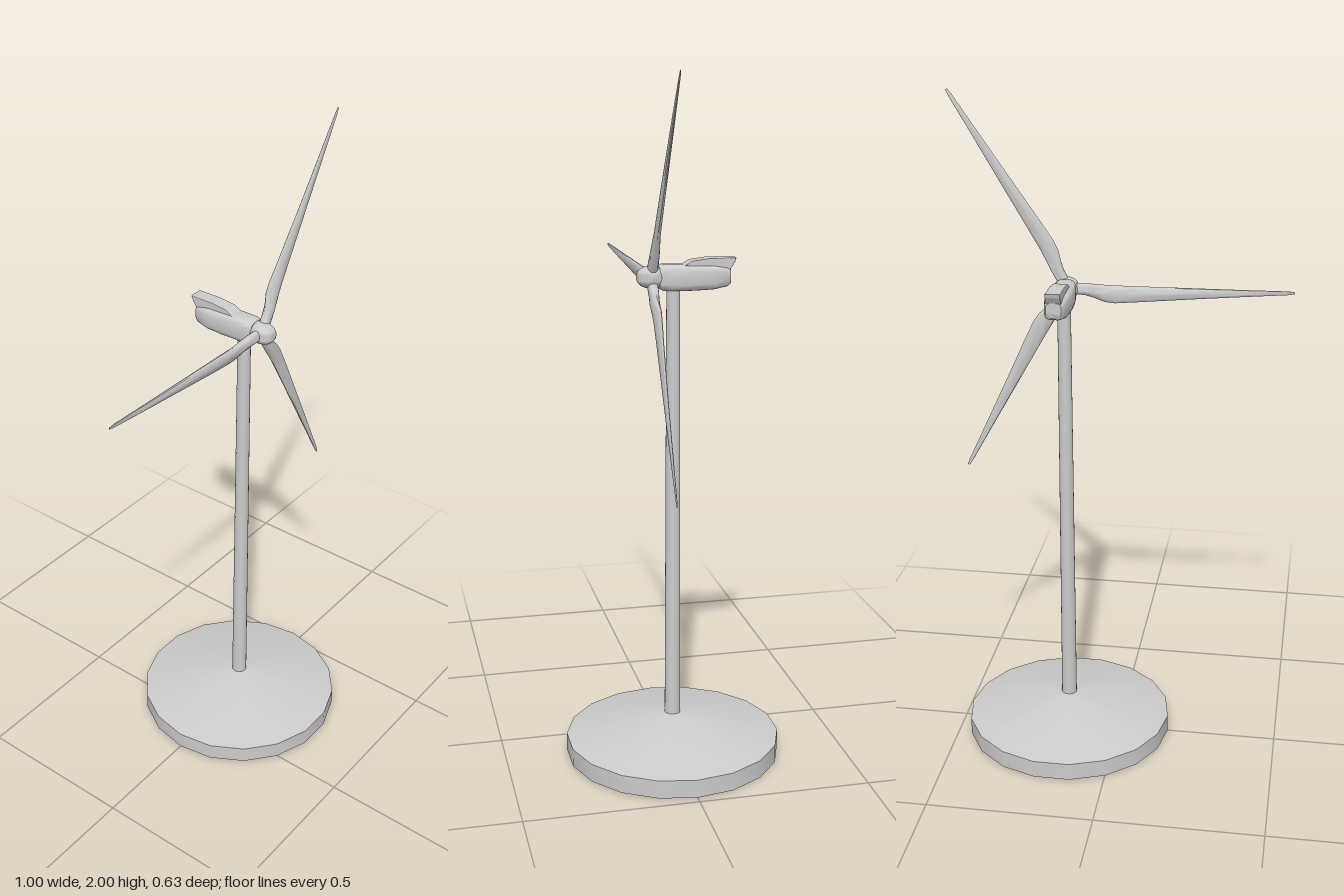
import * as THREE from 'three';
import { mergeVertices, toCreasedNormals } from 'three/addons/utils/BufferGeometryUtils.js';

const AXIS_X = 0.158, HUB_Y = 1.437, HUB_Z = 0.062;
const material = new THREE.MeshStandardMaterial({ color: 0xcccccc, side: THREE.DoubleSide });

function part(name, geometry, parent) {
  const mesh = new THREE.Mesh(geometry, material);
  mesh.name = name;
  parent.add(mesh);
  return mesh;
}

// Skin a list of equal-sized rings and close both ends with a fan
function loft(rings) {
  const n = rings[0].length, pos = [], index = [];
  rings.forEach(ring => ring.forEach(p => pos.push(...p)));
  for (let i = 0; i < rings.length - 1; i++) {
    for (let j = 0; j < n; j++) {
      const a = i * n + j, b = i * n + (j + 1) % n;
      index.push(a, b, a + n, b, b + n, a + n);
    }
  }
  const last = (rings.length - 1) * n;
  for (let j = 1; j < n - 1; j++) {
    index.push(0, j + 1, j, last, last + j, last + j + 1);
  }
  const g = new THREE.BufferGeometry();
  g.setAttribute('position', new THREE.Float32BufferAttribute(pos, 3));
  g.setIndex(index);
  return toCreasedNormals(g, 0.9);
}

// Blade along +x: round root, wide shoulder, long taper to a thin tip
function bladeGeometry() {
  // radius, leading edge, trailing edge, half thickness, twist
  const stations = [
    [0.01, -0.017, 0.017, 0.015, 0], [0.05, -0.016, 0.019, 0.015, 0.05],
    [0.08, -0.014, 0.027, 0.013, 0.15], [0.11, -0.012, 0.038, 0.011, 0.18],
    [0.14, -0.011, 0.041, 0.009, 0.16], [0.20, -0.010, 0.037, 0.008, 0.12],
    [0.36, -0.008, 0.025, 0.006, 0.07], [0.52, -0.006, 0.014, 0.004, 0.03],
    [0.64, -0.005, 0.006, 0.002, 0], [0.658, -0.003, 0.003, 0.001, 0],
  ];
  const n = 14;
  return loft(stations.map(([r, lead, trail, thick, twist], i) => {
    const skew = i < 2 ? 0 : 0.4;
    return Array.from({ length: n }, (_, j) => {
      const t = j / n * Math.PI * 2;
      const y = (lead + trail) / 2 + (trail - lead) / 2 * Math.cos(t);
      const z = thick * Math.sin(t) * (1 - skew * Math.cos(t));
      return [r, y * Math.cos(twist) + z * Math.sin(twist), z * Math.cos(twist) - y * Math.sin(twist)];
    });
  }));
}

// Nacelle body: rounded-box cross-sections from tail to front
function nacelleGeometry() {
  // z, half width, bottom, top
  const stations = [
    [-0.162, 0.022, 1.412, 1.456], [-0.153, 0.028, 1.405, 1.462],
    [-0.115, 0.035, 1.398, 1.467], [-0.06, 0.0365, 1.396, 1.469],
    [0, 0.034, 1.396, 1.471], [0.032, 0.030, 1.398, 1.472],
    [0.043, 0.026, 1.404, 1.467],
  ];
  const n = 24, soft = v => Math.sign(v) * Math.abs(v) ** 0.55;
  return loft(stations.map(([z, w, low, high]) =>
    Array.from({ length: n }, (_, j) => {
      const t = j / n * Math.PI * 2;
      return [w * soft(Math.cos(t)), (low + high) / 2 + (high - low) / 2 * soft(Math.sin(t)), z];
    })));
}

// Raised roof cowl: side profile (backward distance, height) extruded across x
function cowlGeometry() {
  const shape = new THREE.Shape([
    [0.02, 1.462], [0.05, 1.478], [0.1, 1.484], [0.174, 1.484],
    [0.171, 1.476], [0.158, 1.456], [0.14, 1.45],
  ].map(p => new THREE.Vector2(...p)));
  const width = 0.038, bevel = 0.003;
  const g = new THREE.ExtrudeGeometry(shape, {
    depth: width, bevelSize: bevel, bevelThickness: bevel, bevelSegments: 2,
  });
  return g.translate(0, 0, -width / 2).rotateY(Math.PI / 2);
}

function lathe(points, sides, start, crease) {
  const g = new THREE.LatheGeometry(points.map(p => new THREE.Vector2(...p)), sides, start);
  g.deleteAttribute('normal');
  g.deleteAttribute('uv');
  return toCreasedNormals(mergeVertices(g), crease);
}

export function createModel() {
  const model = new THREE.Group();
  model.name = 'windTurbine';

  // Foundation: low drum with a shallow conical top
  part('foundation', lathe(
    [[0, 0], [0.318, 0], [0.318, 0.054], [0.024, 0.12], [0, 0.12]], 18, Math.PI / 2, 0.6,
  ), model).position.x = AXIS_X;

  // Tapered tower
  const tower = part('tower', new THREE.CylinderGeometry(0.0195, 0.0235, 1.31, 18, 1), model);
  tower.position.set(AXIS_X, 0.755, 0);

  // Nacelle with roof cowl
  const nacelle = new THREE.Group();
  nacelle.name = 'nacelle';
  nacelle.position.x = AXIS_X;
  part('nacelleBody', nacelleGeometry(), nacelle);
  part('roofCowl', cowlGeometry(), nacelle);
  model.add(nacelle);

  // Rotor: rounded hub and three blades
  const rotor = new THREE.Group();
  rotor.name = 'rotor';
  rotor.position.set(AXIS_X, HUB_Y, HUB_Z);
  const hub = lathe([
    [0, -0.026], [0.026, -0.026], [0.031, -0.018], [0.033, 0], [0.031, 0.016],
    [0.026, 0.029], [0.017, 0.039], [0.008, 0.043], [0, 0.044],
  ], 20, 0, 0.9);
  part('hub', hub.rotateX(Math.PI / 2), rotor);
  const blade = bladeGeometry();
  for (let i = 0; i < 3; i++) {
    part('blade', blade, rotor).rotation.z = THREE.MathUtils.degToRad(58.9 + i * 120);
  }
  model.add(rotor);

  return model;
}
